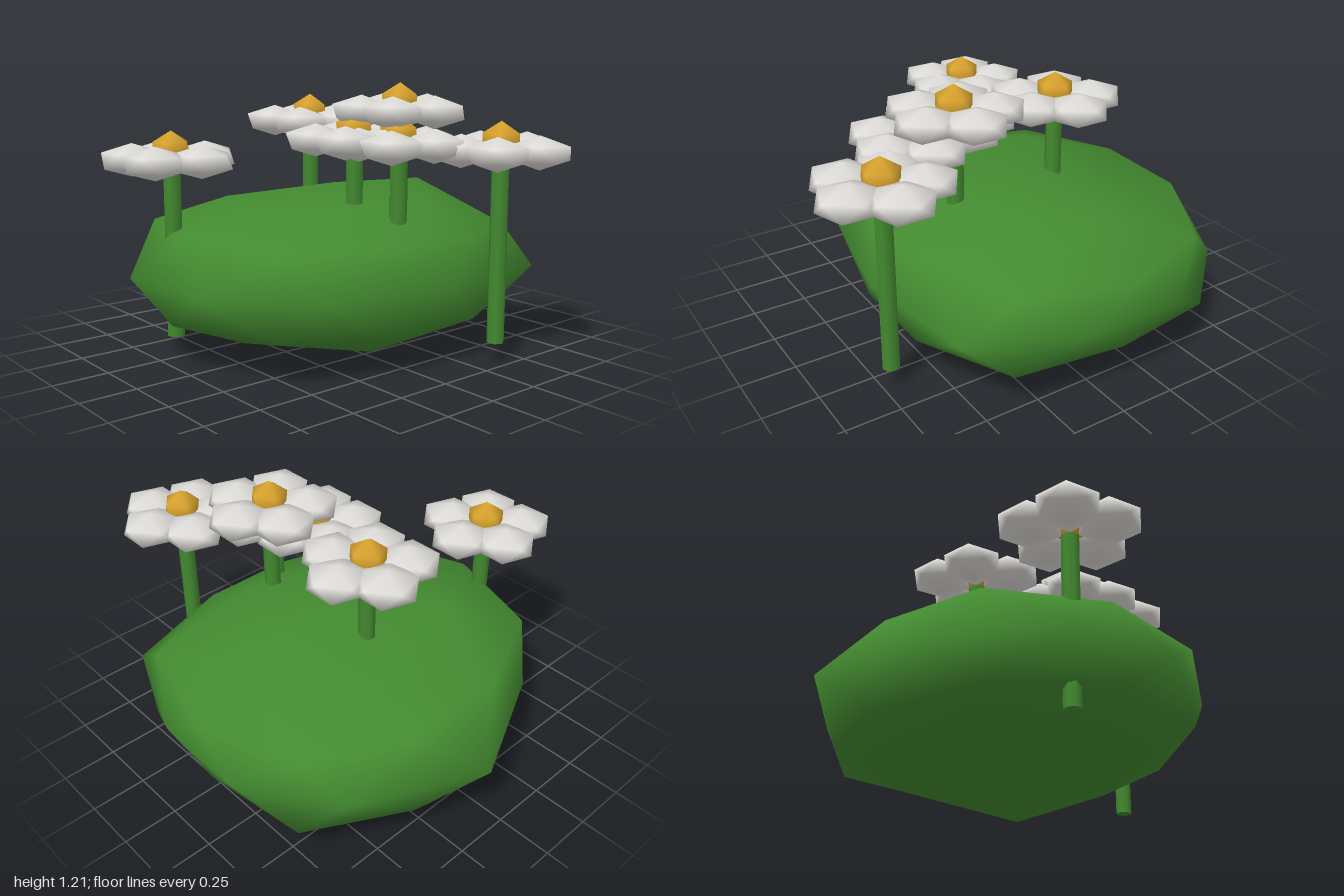
import * as THREE from 'three';
import { mergeVertices } from 'three/addons/utils/BufferGeometryUtils.js';

const mat = (name, color) => {
  const m = new THREE.MeshStandardMaterial({ color });
  m.name = name;
  return m;
};

// Icosphere standing on a corner, with shared vertices for smooth shading
function icosphere(detail) {
  const g = new THREE.IcosahedronGeometry(1, detail);
  g.rotateX(-Math.atan((1 + Math.sqrt(5)) / 2)).rotateY(Math.PI / 2);
  g.deleteAttribute('uv');
  g.deleteAttribute('normal');
  const merged = mergeVertices(g, 1e-3);
  merged.computeVertexNormals();
  return merged;
}

// Bush outline at its widest, as x and z every 36 degrees from 18
const rim = [
  [0.925, -0.33], [0.67, -0.74], [0.115, -1], [-0.42, -0.74], [-0.83, -0.35],
  [-0.80, 0.14], [-0.46, 0.56], [0.12, 0.68], [0.72, 0.60], [0.92, 0.11],
];
// Bush rings, as radius and height in equal steps of angle
const crown = [[0.555, 0.71], [0.41, 0.57], [0.5, 0.675], [0.49, 0.675], [0.44, 0.69]];
const upper = [
  [0.785, 0.52], [0.79, 0.53], [0.735, 0.56], [0.735, 0.575], [0.84, 0.57],
  [0.845, 0.57], [0.87, 0.55], [0.69, 0.55], [0.69, 0.55], [0.81, 0.53],
];
const lower = [
  [0.745, 0.20], [0.84, 0.20], [0.745, 0.17], [0.757, 0.17], [0.80, 0.19],
  [0.885, 0.20], [0.86, 0.20], [0.72, 0.18], [0.72, 0.18], [0.84, 0.20],
];
const base = [[0.48, 0.075], [0.42, 0.10], [0.515, 0.05], [0.45, 0.04], [0.54, 0.04]];

// Bush: icosphere whose rings are moved onto the outlines above
function bushGeometry() {
  const cx = 0.115, cz = -0.1;
  const g = icosphere(1);
  const p = g.attributes.position;
  for (let i = 0; i < p.count; i++) {
    const y = p.getY(i);
    const angle = Math.atan2(-p.getZ(i), p.getX(i));
    const step = angle / (Math.PI / 5) + 10; // in units of 36 degrees
    if (Math.abs(y) > 0.95) {
      p.setXYZ(i, cx, y > 0 ? 0.735 : 0.005, cz);
    } else if (Math.abs(y) < 0.1) {
      const [x, z] = rim[Math.round(step - 0.5) % 10];
      p.setXYZ(i, x, 0.37, z);
    } else {
      let ring;
      if (y > 0.7) ring = crown[Math.round(step / 2) % 5];
      else if (y < -0.7) ring = base[Math.round((step - 1) / 2) % 5];
      else ring = (y > 0 ? upper : lower)[Math.round(step) % 10];
      const [r, h] = ring;
      p.setXYZ(i, cx + Math.cos(angle) * r, h, cz - Math.sin(angle) * r);
    }
  }
  g.computeVertexNormals();
  return g;
}

export function createModel() {
  const model = new THREE.Group();
  model.name = 'floweringBush';
  const green = mat('leafGreen', 0x438a30);
  const white = mat('petalWhite', 0xdedcd8);
  const yellow = mat('centreYellow', 0xdca52e);

  const add = (parent, name, geometry, material) => {
    const m = new THREE.Mesh(geometry, material);
    m.name = name;
    parent.add(m);
    return m;
  };

  add(model, 'bush', bushGeometry(), green);

  const petalGeo = icosphere(0).scale(0.145, 0.072, 0.145);
  const centreGeo = icosphere(0).scale(0.09, 0.09, 0.09);

  // Flowers: x, petal height, z, foot of stem
  const flowers = [
    [-0.663, 0.885, -0.255, 0.105],
    [0.345, 0.934, 0.712, 0.105],
    [0.17, 1.085, 0.285, 0.25],
    [0.11, 1.018, -0.27, 0.25],
    [-0.02, 0.965, 0.20, 0.25],
    [0.05, 0.955, 0.405, 0.25],
  ];
  for (const [x, y, z, foot] of flowers) {
    const flower = new THREE.Group();
    flower.name = 'flower';
    flower.position.set(x, y, z);
    model.add(flower);

    const length = y - foot;
    add(flower, 'stem', new THREE.CylinderGeometry(0.038, 0.038, length, 7), green).position.y = -length / 2;
    add(flower, 'flowerCentre', centreGeo, yellow).position.y = 0.035;
    for (let i = 0; i < 5; i++) {
      const a = i * Math.PI * 2 / 5;
      add(flower, 'petal', petalGeo, white).position.set(Math.cos(a) * 0.168, 0, -Math.sin(a) * 0.168);
    }
  }
  return model;
}
